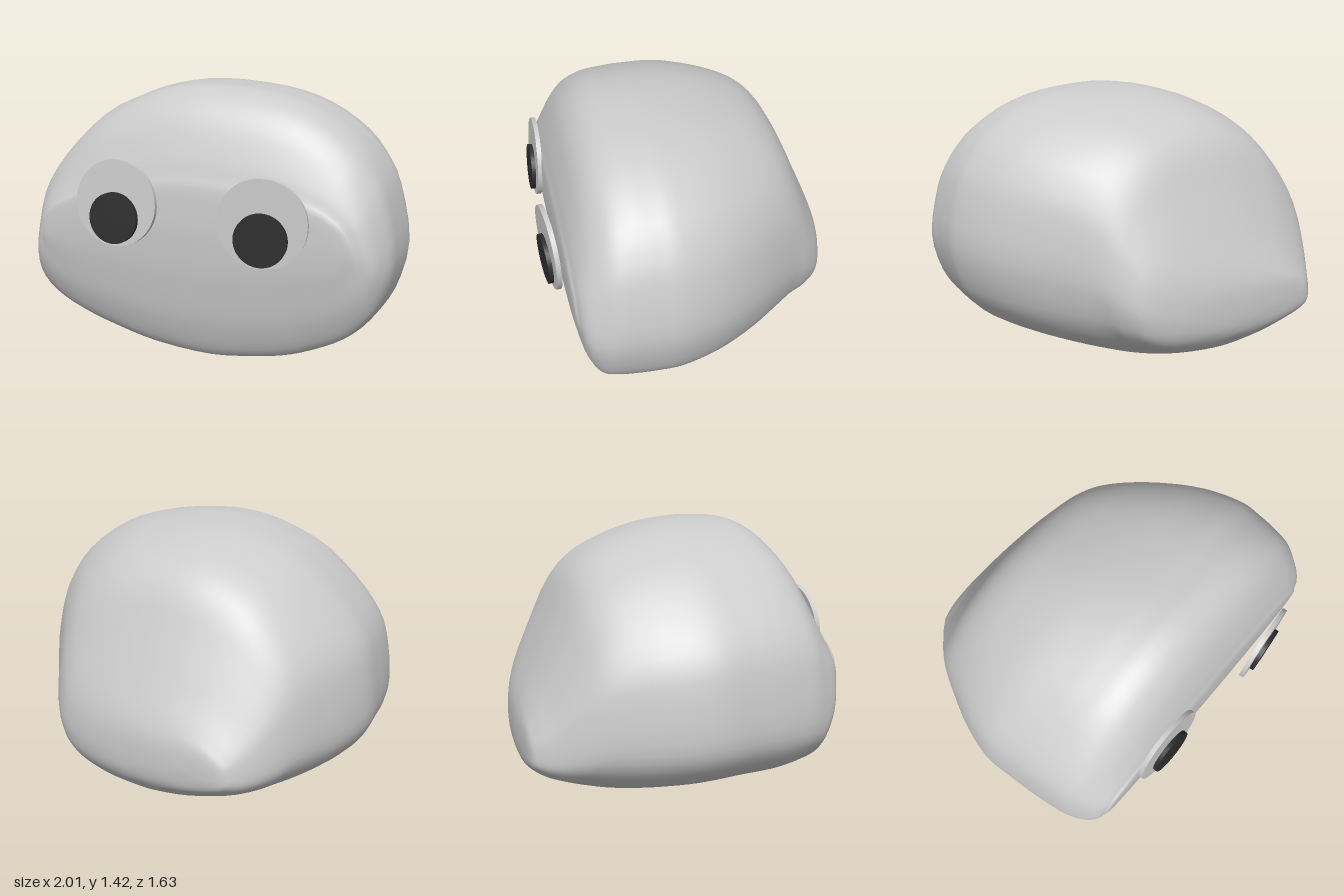
import * as THREE from 'three';
import { mergeVertices } from 'three/addons/utils/BufferGeometryUtils.js';

const grey = new THREE.MeshStandardMaterial({ color: 0xcccccc });
const dark = new THREE.MeshStandardMaterial({ color: 0x2e2e2e });

// Outline of the stone, counter-clockwise, x in -1..1, y in 0..1.42
const OUTLINE = [
  [1, 0.65], [0.95, 0.92], [0.88, 1.07], [0.77, 1.2], [0.58, 1.32], [0.35, 1.39], [0.03, 1.42],
  [-0.2, 1.4], [-0.4, 1.34], [-0.6, 1.24], [-0.8, 1.06], [-0.93, 0.88], [-0.98, 0.7],
  [-1, 0.49], [-0.97, 0.36], [-0.87, 0.25], [-0.7, 0.16], [-0.5, 0.09], [-0.27, 0.03], [0.03, 0],
  [0.25, 0.02], [0.46, 0.06], [0.62, 0.12], [0.77, 0.2], [0.87, 0.29], [0.95, 0.42],
];

// Cross-sections from back to front: z, x min, x max, y min, y max
const SECTIONS = [
  [-0.815, -0.32, -0.32, 0.35, 0.35],
  [-0.805, -0.53, -0.1, 0.26, 0.46],
  [-0.77, -0.6, 0.2, 0.2, 0.56],
  [-0.7, -0.67, 0.43, 0.14, 0.71],
  [-0.6, -0.75, 0.54, 0.09, 0.93],
  [-0.5, -0.81, 0.61, 0.05, 1.14],
  [-0.38, -0.87, 0.7, 0.02, 1.26],
  [-0.2, -0.95, 0.83, 0.005, 1.34],
  [0, -1, 0.94, 0, 1.395],
  [0.2, -0.99, 1, 0, 1.42],
  [0.32, -0.98, 1, 0, 1.42],
  [0.43, -0.965, 0.99, 0.005, 1.41],
  [0.53, -0.945, 0.98, 0.03, 1.36],
  [0.61, -0.91, 0.95, 0.07, 1.26],
  [0.67, -0.87, 0.91, 0.23, 1.11],
  [0.7, -0.82, 0.84, 0.39, 1.01],
  [0.72, -0.72, 0.7, 0.55, 0.93],
  [0.73, -0.1, -0.1, 0.74, 0.74],
];

// Smooth closed body lofted through the sections
function stoneGeometry(around = 72, along = 68) {
  const spline = (pts, closed) => new THREE.CatmullRomCurve3(pts, closed, 'catmullrom', 0.5);
  const outline = spline(OUTLINE.map(([x, y]) => new THREE.Vector3(x, y, 0)), true);
  const lows = spline(SECTIONS.map((s) => new THREE.Vector3(s[1], s[3], s[0])), false);
  const highs = spline(SECTIONS.map((s) => new THREE.Vector3(s[2], s[4], s[0])), false);
  const ring = Array.from({ length: around }, (_, j) => outline.getPoint(j / around));
  const positions = [];
  const index = [];
  for (let i = 0; i <= along; i++) {
    const lo = lows.getPoint(i / along);
    const hi = highs.getPoint(i / along);
    for (const p of ring) {
      positions.push(
        THREE.MathUtils.lerp(lo.x, hi.x, (p.x + 1) / 2),
        Math.max(0, THREE.MathUtils.lerp(lo.y, hi.y, p.y / 1.42)),
        lo.z,
      );
    }
  }
  for (let i = 0; i < along; i++) {
    for (let j = 0; j < around; j++) {
      const a = i * around + j;
      const b = i * around + ((j + 1) % around);
      index.push(a, b, a + around, b, b + around, a + around);
    }
  }
  const geometry = new THREE.BufferGeometry();
  geometry.setAttribute('position', new THREE.Float32BufferAttribute(positions, 3));
  geometry.setIndex(index);
  const welded = mergeVertices(geometry);
  welded.computeVertexNormals();
  return welded;
}

// Flat disc facing +z
function disc(name, radius, depth, material) {
  const geometry = new THREE.CylinderGeometry(radius, radius, depth, 48).rotateX(Math.PI / 2);
  const mesh = new THREE.Mesh(geometry, material);
  mesh.name = name;
  return mesh;
}

// Eye disc with a low-set pupil in front of it
function eye(name, position, tilt, turn) {
  const group = new THREE.Group();
  group.name = name;
  const pupil = disc('pupil', 0.128, 0.024, dark);
  pupil.position.set(-0.003, -0.073, 0.022);
  group.add(disc('eyeWhite', 0.216, 0.024, grey), pupil);
  group.position.set(...position);
  group.rotation.set(tilt, turn, 0);
  return group;
}

export function createModel() {
  const model = new THREE.Group();
  model.name = 'stoneWithEyes';
  const stone = new THREE.Mesh(stoneGeometry(), grey);
  stone.name = 'stone';
  model.add(
    stone,
    eye('rightEye', [-0.36, 0.85, 0.735], -0.09, 0),
    eye('leftEye', [0.41, 0.828, 0.773], 0, 0.1),
  );
  return model;
}
